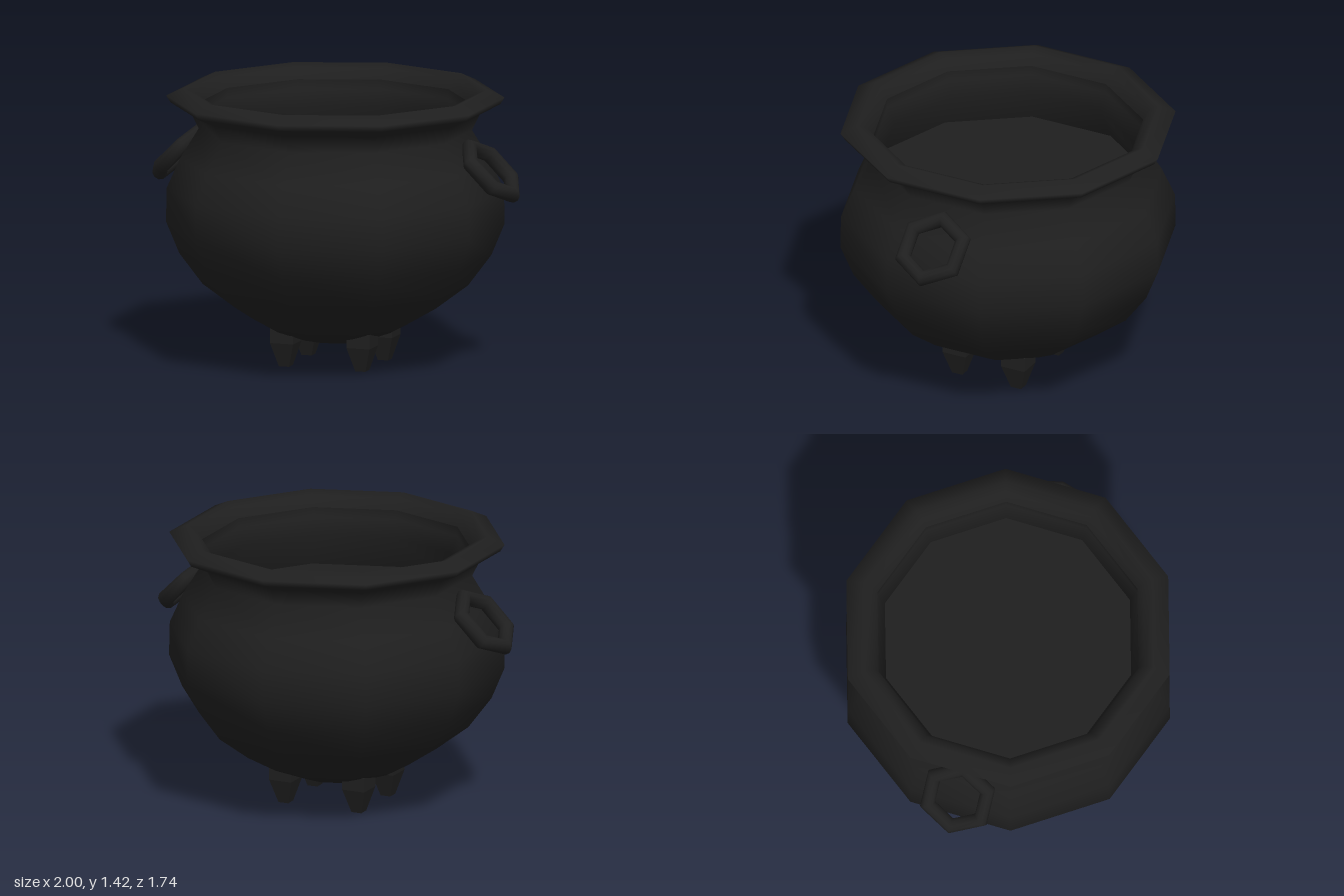
import * as THREE from 'three';

const iron = new THREE.MeshStandardMaterial({ color: 0x1f1f1f });
const facetedIron = new THREE.MeshStandardMaterial({ color: 0x1f1f1f, flatShading: true });

function addMesh(group, name, geometry, material = iron) {
  const mesh = new THREE.Mesh(geometry, material);
  mesh.name = name;
  group.add(mesh);
  return mesh;
}

function lathe(profile, sides) {
  return new THREE.LatheGeometry(profile.map(([r, y]) => new THREE.Vector2(r, y)), sides);
}

export function createModel() {
  const model = new THREE.Group();
  model.name = 'cauldron';
  const sides = 10;

  // Pot: belly up to the neck and over the rolled rim
  addMesh(model, 'pot', lathe([
    [0, 0.133], [0.19, 0.133], [0.355, 0.193], [0.515, 0.283], [0.68, 0.405],
    [0.8, 0.565], [0.868, 0.73], [0.864, 0.905], [0.795, 1.06], [0.7, 1.215],
    [0.745, 1.305], [0.845, 1.35], [0.867, 1.385], [0.78, 1.425],
    [0.73, 1.405], [0.7, 1.35],
  ], sides));

  // Inner wall: in to the neck, then widening down to the contents
  addMesh(model, 'innerWall', lathe([
    [0.735, 1.03], [0.66, 1.215], [0.7, 1.3], [0.7, 1.35],
  ].reverse(), sides));

  // Flat surface of the contents
  const surface = new THREE.CircleGeometry(0.733, sides).rotateX(-Math.PI / 2).rotateY(Math.PI / 2);
  addMesh(model, 'contents', surface).position.y = 1.04;

  // Hexagonal ring handles, sloping outward and down, first corner away from the pot
  for (const side of [1, -1]) {
    const ring = new THREE.TorusGeometry(0.165, 0.041, 10, 6)
      .rotateX(Math.PI / 2).rotateZ(-side * Math.PI / 4);
    const name = side > 0 ? 'leftHandle' : 'rightHandle';
    addMesh(model, name, ring).position.set(side * 0.843, 1.048, -0.01);
  }

  // Four square feet, straight at the top and tapering to the ground
  for (const x of [0.208, -0.208]) {
    for (const z of [0.17, -0.17]) {
      const foot = lathe([[0, 0], [0.042, 0], [0.095, 0.125], [0.095, 0.2], [0, 0.2]], 4)
        .rotateY(Math.PI / 4).scale(0.93, 1, 1);
      const name = (z > 0 ? 'front' : 'back') + (x > 0 ? 'Left' : 'Right') + 'Foot';
      addMesh(model, name, foot, facetedIron).position.set(x, 0, z);
    }
  }
  return model;
}
